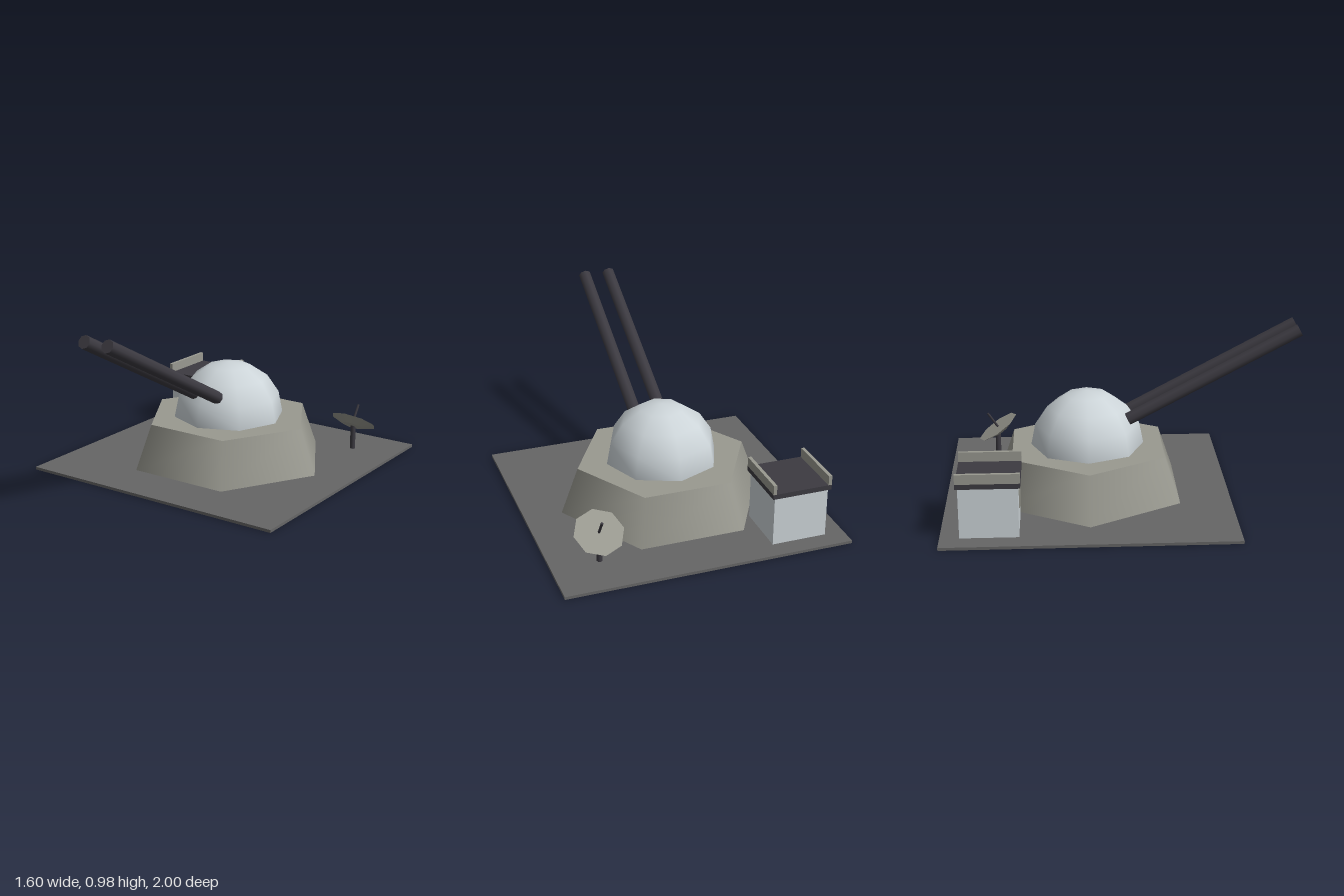
import * as THREE from 'three';

const mat = (name, color) => {
  const m = new THREE.MeshStandardMaterial({ color });
  m.name = name;
  return m;
};

export function createModel() {
  const root = new THREE.Group();
  root.name = 'gunEmplacement';

  const ground = mat('groundGrey', 0x666666);
  const concrete = mat('concrete', 0x999990);
  const pale = mat('paleBlueGrey', 0xcdd5d9);
  const dark = mat('darkMetal', 0x3c3a41);

  const add = (parent, name, geometry, material, x, y, z) => {
    const m = new THREE.Mesh(geometry, material);
    m.name = name;
    m.position.set(x, y, z);
    parent.add(m);
    return m;
  };
  const box = (w, h, d) => new THREE.BoxGeometry(w, h, d);
  const group = (name, x, y, z) => {
    const g = new THREE.Group();
    g.name = name;
    g.position.set(x, y, z);
    root.add(g);
    return g;
  };

  // Ground plate
  add(root, 'groundPlate', box(1.6, 0.016, 1.6), ground, 0, 0.008, -0.2);

  // Turret: hexagonal plinth, half dome and a pair of raised barrels
  const turret = group('turret', 0, 0, -0.2);
  const plinth = add(turret, 'plinth', new THREE.CylinderGeometry(0.49, 0.588, 0.259, 6), concrete, 0, 0.1455, 0);
  plinth.rotation.y = Math.PI / 2;
  add(turret, 'dome', new THREE.SphereGeometry(0.32, 8, 4, 0, Math.PI * 2, 0, Math.PI / 2), pale, 0, 0.275, 0);
  for (const side of [-1, 1]) {
    const barrel = add(turret, side > 0 ? 'leftBarrel' : 'rightBarrel',
      new THREE.CylinderGeometry(0.037, 0.037, 1.08, 8), dark, side * 0.075, 0.697, 0.705);
    barrel.rotation.x = THREE.MathUtils.degToRad(62);
  }

  // Hut with roof slab, two parapets and a front window
  const hut = group('hut', -0.536, 0, -0.737);
  add(hut, 'walls', box(0.308, 0.284, 0.315), pale, 0, 0.158, 0);
  add(hut, 'roof', box(0.337, 0.028, 0.34), dark, 0, 0.313, 0);
  for (const side of [-1, 1])
    add(hut, 'parapet', box(0.019, 0.054, 0.34), concrete, side * 0.159, 0.354, 0);
  add(hut, 'window', box(0.1, 0.104, 0.008), concrete, 0, 0.189, 0.159);

  // Dish antenna on a post, tilted up and back
  const station = group('dishStation', 0.535, 0, -0.735);
  add(station, 'post', new THREE.CylinderGeometry(0.016, 0.016, 0.154, 8), dark, 0, 0.093, 0);
  const head = new THREE.Group();
  head.name = 'dishHead';
  head.position.y = 0.187;
  head.rotation.x = THREE.MathUtils.degToRad(-34);
  station.add(head);
  add(head, 'dish', new THREE.CylinderGeometry(0.137, 0.06, 0.03, 8), concrete, 0, -0.015, 0);
  add(head, 'feedRod', new THREE.CylinderGeometry(0.007, 0.007, 0.105, 6), dark, 0, 0.0525, 0);

  return root;
}
